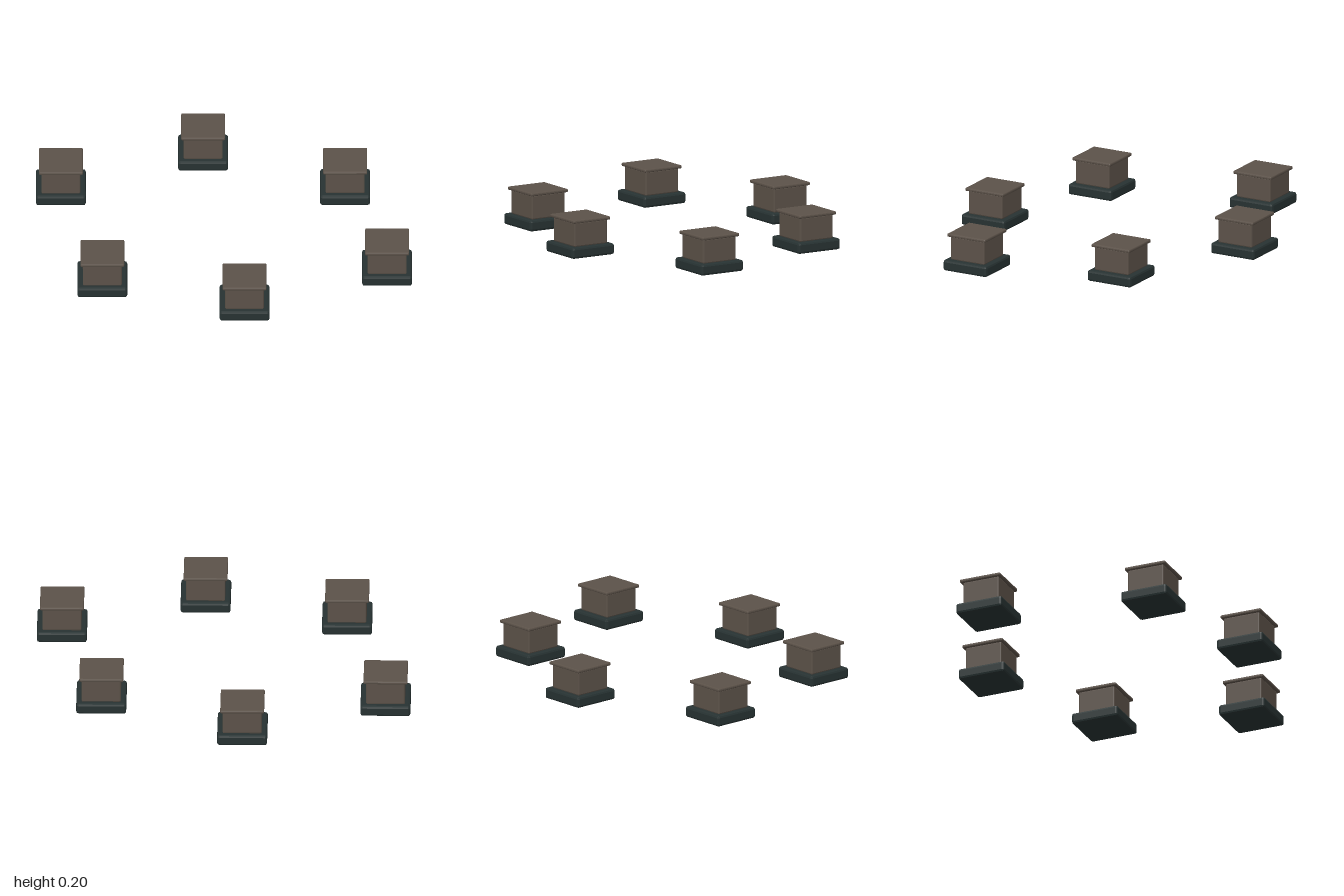
import * as THREE from 'three';
import { RoundedBoxGeometry } from 'three/addons/geometries/RoundedBoxGeometry.js';

// Box with a flat chamfer on every edge
function chamferBox(width, height, bevel) {
  const geometry = new RoundedBoxGeometry(width, height, width, 1, bevel);
  geometry.computeVertexNormals();
  return geometry;
}

export function createModel() {
  const model = new THREE.Group();
  model.name = 'pedestalRing';

  const stone = new THREE.MeshStandardMaterial({ color: 0x5c5249 });
  stone.name = 'brown stone';
  const slate = new THREE.MeshStandardMaterial({ color: 0x273232 });
  slate.name = 'dark slate';

  // Stacked parts of one pedestal: width, bottom, top, bevel
  const parts = [
    ['plinth', 0.266, 0, 0.06, 0.012, slate],
    ['body', 0.208, 0.058, 0.19, 0.007, stone],
    ['cap', 0.234, 0.187, 0.205, 0.006, stone],
  ].map(([name, width, bottom, top, bevel, material]) => ({
    name, material, y: (bottom + top) / 2,
    geometry: chamferBox(width, top - bottom, bevel),
  }));

  // Pedestal centres (x, z)
  const places = [
    [-0.11, -0.703], [0.645, -0.38], [0.867, 0.377],
    [0.108, 0.703], [-0.648, 0.482], [-0.867, -0.38],
  ];
  places.forEach(([x, z], i) => {
    const pedestal = new THREE.Group();
    pedestal.name = `pedestal${i + 1}`;
    pedestal.position.set(x, 0, z);
    for (const part of parts) {
      const mesh = new THREE.Mesh(part.geometry, part.material);
      mesh.name = part.name;
      mesh.position.y = part.y;
      pedestal.add(mesh);
    }
    model.add(pedestal);
  });
  return model;
}
